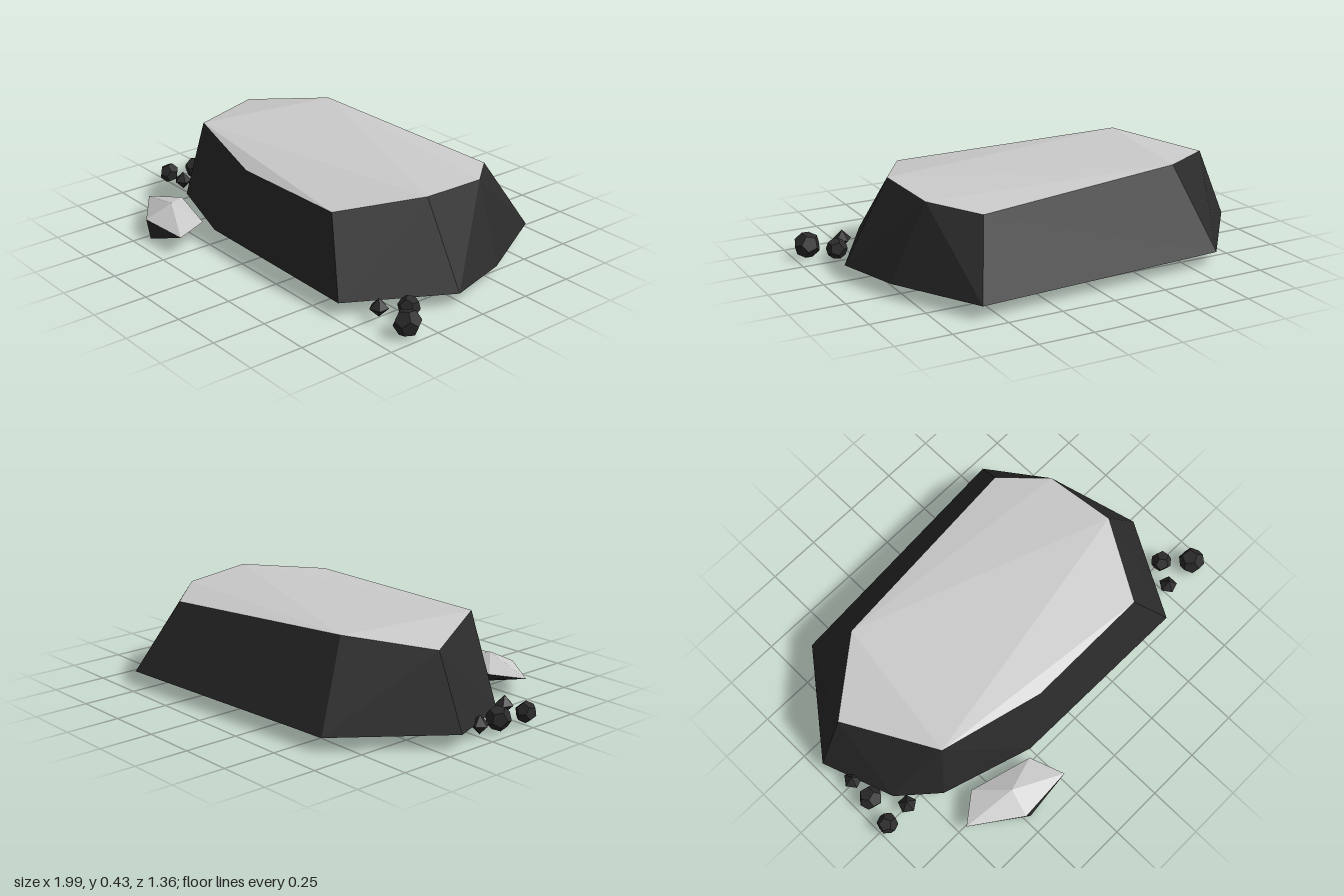
import * as THREE from 'three';
import { ConvexGeometry } from 'three/addons/geometries/ConvexGeometry.js';

const dark = new THREE.MeshStandardMaterial({ color: 0x2b2b2b, flatShading: true });
const pale = new THREE.MeshStandardMaterial({ color: 0xcccccc, flatShading: true });

// Faceted rock from its corners; faces that point up enough become a pale cap.
function cappedRock(name, corners, capLimit) {
  const pos = new ConvexGeometry(corners.map(c => new THREE.Vector3(...c))).getAttribute('position');
  const split = { Cap: [], Body: [] };
  const tri = new THREE.Triangle();
  const normal = new THREE.Vector3();
  for (let i = 0; i < pos.count; i += 3) {
    tri.setFromAttributeAndIndices(pos, i, i + 1, i + 2);
    tri.getNormal(normal);
    const list = normal.y > capLimit ? split.Cap : split.Body;
    for (const v of [tri.a, tri.b, tri.c]) list.push(v.x, v.y, v.z);
  }
  const rock = new THREE.Group();
  rock.name = name;
  for (const part of ['Cap', 'Body']) {
    const geo = new THREE.BufferGeometry();
    geo.setAttribute('position', new THREE.Float32BufferAttribute(split[part], 3));
    geo.computeVertexNormals();
    const mesh = new THREE.Mesh(geo, part === 'Cap' ? pale : dark);
    mesh.name = name + part;
    rock.add(mesh);
  }
  return rock;
}

export function createModel() {
  const model = new THREE.Group();
  model.name = 'rockPlatform';

  // Main slab: flat base outline and a smaller, chipped top outline
  const base = [[-0.62, -0.6], [0.58, -0.68], [0.805, -0.27], [0.89, 0.03], [0.64, 0.475],
    [-0.26, 0.465], [-0.68, 0.335], [-0.85, 0.185], [-0.97, -0.15]].map(([x, z]) => [x, 0.065, z]);
  const top = [[-0.51, 0.432, -0.4], [0.48, 0.383, -0.495], [0.65, 0.41, -0.3], [0.68, 0.432, 0.03],
    [0.48, 0.39, 0.38], [-0.12, 0.38, 0.38], [-0.61, 0.432, 0.27], [-0.705, 0.33, 0.1], [-0.83, 0.39, -0.15]];
  model.add(cappedRock('slab', [...base, ...top], 0.72));

  // Small shard lying in front of the slab
  model.add(cappedRock('shard', [
    [-0.47, 0.15, 0.555],
    [-0.72, 0.09, 0.52], [-0.5, 0.09, 0.675], [-0.24, 0.09, 0.66], [-0.3, 0.1, 0.5], [-0.59, 0.1, 0.42],
    [-0.47, 0.005, 0.675], [-0.46, 0.03, 0.44],
  ], 0.4));

  // Loose pebbles: [x, y, z, radius, turn]
  const round = new THREE.DodecahedronGeometry(1);
  const pointed = new THREE.SphereGeometry(1, 5, 2);
  const addPebbles = (geo, list) => list.forEach(([x, y, z, r, turn]) => {
    const pebble = new THREE.Mesh(geo, dark);
    pebble.name = 'pebble';
    pebble.position.set(x, y, z);
    pebble.rotation.set(geo === round ? turn * 0.7 : 0, turn, 0);
    pebble.scale.setScalar(r);
    model.add(pebble);
  });
  addPebbles(round, [
    [-0.925, 0.06, 0.115, 0.056, 0.3], [-0.953, 0.062, 0.255, 0.048, 0.8],
    [0.835, 0.06, 0.262, 0.049, 1.2], [0.938, 0.064, 0.362, 0.061, 0.5],
  ]);
  addPebbles(pointed, [
    [-0.83, 0.063, 0.255, 0.043, 0.31], [-0.925, 0.06, 0, 0.043, 0], [0.768, 0.063, 0.366, 0.043, 0],
  ]);
  return model;
}
